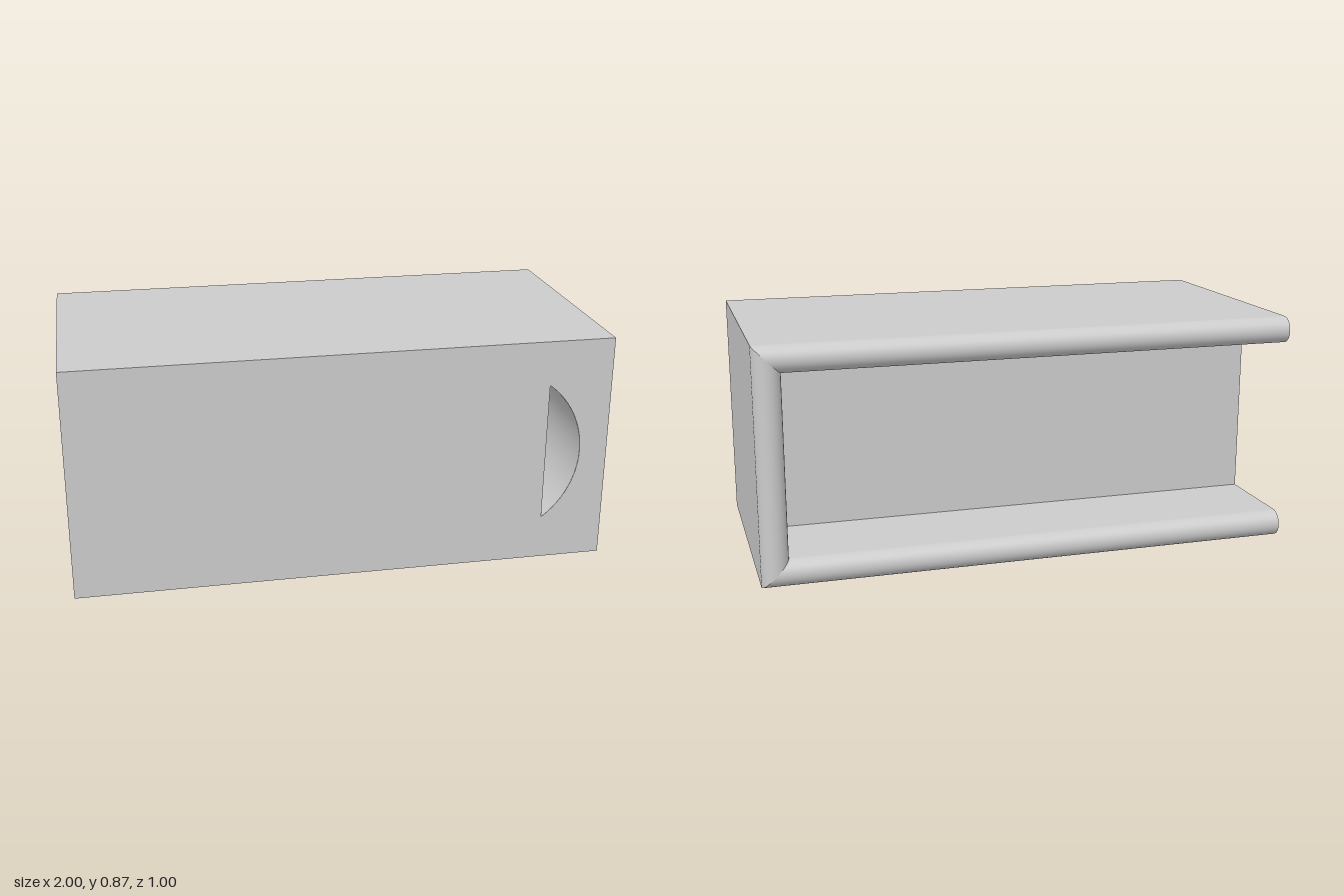
import * as THREE from 'three';

const H = 0.87;            // height
const WALL = 0.1;          // wall thickness
const R = WALL / 2;        // radius of the rounded rim
const FLOOR_Z = -0.117;    // inner face of the tray
const BORE = { x: 0.561, y: H / 2, r: 0.333 };

const material = new THREE.MeshStandardMaterial({ color: 0xcccccc, side: THREE.DoubleSide });

// Wall cross-section: depth z, inset from the outside, and surface angle a
function wallProfile(steps = 24) {
  const pts = [{ z: 0.5, inset: 0, a: 0 }];
  for (let i = 0; i <= steps; i++) {
    const a = Math.PI * i / steps;
    pts.push({ z: -0.5 + R - R * Math.sin(a), inset: R - R * Math.cos(a), a });
  }
  pts.push({ z: FLOOR_Z, inset: WALL, a: Math.PI });
  return pts;
}

// One wall between two mitred corners, each a function of the inset
function wallGeometry(from, to, out) {
  const pos = [], nor = [], idx = [];
  wallProfile().forEach((p, i, all) => {
    for (const corner of [from, to]) {
      pos.push(...corner(p.inset), p.z);
      nor.push(out[0] * Math.cos(p.a), out[1] * Math.cos(p.a), -Math.sin(p.a));
    }
    const k = 2 * i;
    if (i < all.length - 1) idx.push(k, k + 2, k + 1, k + 1, k + 2, k + 3);
  });
  const g = new THREE.BufferGeometry();
  g.setAttribute('position', new THREE.Float32BufferAttribute(pos, 3));
  g.setAttribute('normal', new THREE.Float32BufferAttribute(nor, 3));
  g.setIndex(idx);
  return g;
}

export function createModel() {
  const model = new THREE.Group();
  model.name = 'openBox';
  const add = (name, geometry) => {
    const mesh = new THREE.Mesh(geometry, material);
    mesh.name = name;
    model.add(mesh);
    return mesh;
  };

  // Bottom, side and top walls with the rounded rim around the back opening
  const corners = [
    o => [-1, o], o => [1 - o, o], o => [1 - o, H - o], o => [-1, H - o],
  ];
  const outward = [[0, -1], [1, 0], [0, 1]];
  ['bottomWall', 'sideWall', 'topWall'].forEach((name, i) =>
    add(name, wallGeometry(corners[i], corners[i + 1], outward[i])));

  // C-shaped face at the open end
  const lower = wallProfile().map(p => new THREE.Vector2(p.z, p.inset));
  const upper = lower.map(p => new THREE.Vector2(p.x, H - p.y)).reverse();
  const end = add('openEndFace', new THREE.ShapeGeometry(new THREE.Shape([...lower, ...upper])));
  end.rotation.y = -Math.PI / 2;
  end.position.x = -1;

  // Front face with the fan-shaped opening
  const front = new THREE.Shape([
    new THREE.Vector2(-1, 0), new THREE.Vector2(1, 0),
    new THREE.Vector2(1, H), new THREE.Vector2(-1, H),
  ]);
  const half = Math.atan2(4, 3);
  const fan = new THREE.Path();
  fan.moveTo(BORE.x - BORE.r, BORE.y);
  fan.absarc(BORE.x, BORE.y, BORE.r, -half, half, false);
  fan.closePath();
  front.holes.push(fan);
  add('frontFace', new THREE.ShapeGeometry(front, 32)).position.z = 0.5;

  // Round bore behind the opening, running back to the tray floor
  const depth = 0.5 - FLOOR_Z;
  const bore = add('bore', new THREE.CylinderGeometry(BORE.r, BORE.r, depth, 64, 1, true));
  bore.rotation.x = Math.PI / 2;
  bore.position.set(BORE.x, BORE.y, 0.5 - depth / 2);

  // Tray floor, facing the back
  const floor = add('trayFloor', new THREE.PlaneGeometry(2 - WALL, H - 2 * WALL));
  floor.rotation.y = Math.PI;
  floor.position.set(-WALL / 2, H / 2, FLOOR_Z);

  return model;
}
